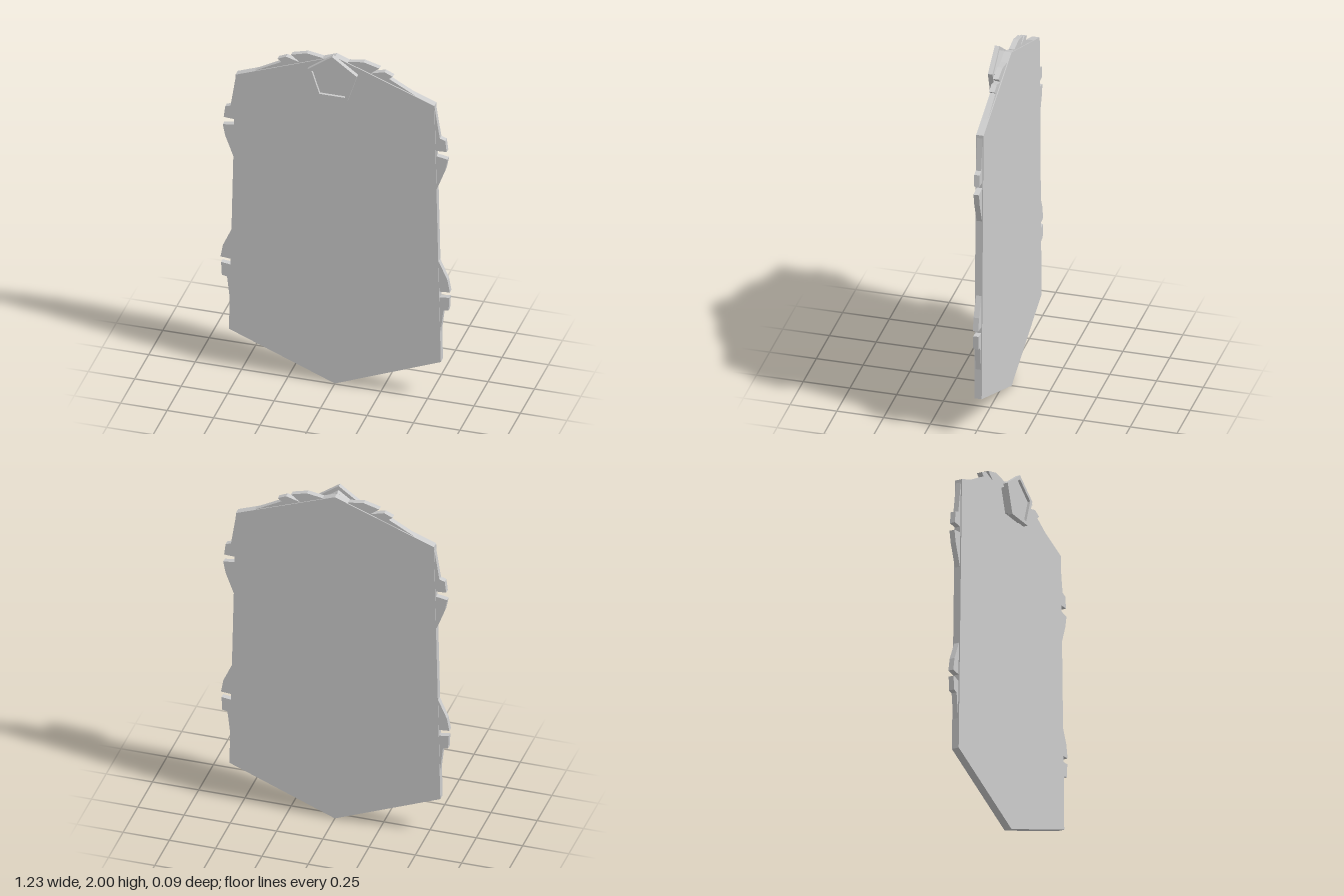
import * as THREE from 'three';

const material = new THREE.MeshStandardMaterial({ color: 0xcccccc, flatShading: true });

// Flat plate cut from an outline, spanning z0 to z1
function plate(name, points, z0, z1, hole) {
  const toVectors = (list) => list.map(([x, y]) => new THREE.Vector2(x, y));
  const shape = new THREE.Shape(toVectors(points));
  if (hole) shape.holes.push(new THREE.Path(toVectors(hole)));
  const geometry = new THREE.ExtrudeGeometry(shape, { depth: z1 - z0, bevelEnabled: false });
  geometry.translate(0, 0, z0);
  const mesh = new THREE.Mesh(geometry, material);
  mesh.name = name;
  return mesh;
}

const mirror = (points) => points.map(([x, y]) => [-x, y]).reverse();

// Regular pentagon with one corner up
function pentagon(radius, cy) {
  return Array.from({ length: 5 }, (_, i) => {
    const a = Math.PI / 2 + (i * Math.PI * 2) / 5;
    return [radius * Math.cos(a), cy + radius * Math.sin(a)];
  });
}

export function createModel() {
  const group = new THREE.Group();
  group.name = 'plaque';

  // Six-sided board, pointed at top and bottom
  group.add(plate('board', [
    [0, 0], [0.57, 0.23], [0.535, 1.77], [0, 1.972], [-0.535, 1.77], [-0.57, 0.23],
  ], -0.045, -0.005));

  // Notched scroll trim, rooted inside the board and repeated on both sides
  const trims = {
    TopTrim: [
      [0.05, 1.9], [0.476, 1.785], [0.29, 1.887], [0.31, 1.903], [0.265, 1.923],
      [0.19, 1.902], [0.238, 1.94], [0.153, 1.963], [0.07, 1.95],
    ],
    UpperSideTrim: [
      [0.51, 1.265], [0.545, 1.265], [0.592, 1.39], [0.605, 1.455], [0.545, 1.465],
      [0.545, 1.497], [0.6, 1.5], [0.592, 1.565], [0.563, 1.575], [0.533, 1.768], [0.51, 1.7],
    ],
    LowerSideTrim: [
      [0.53, 0.4], [0.566, 0.4], [0.582, 0.54], [0.61, 0.545], [0.614, 0.622],
      [0.56, 0.615], [0.56, 0.65], [0.617, 0.655], [0.604, 0.727], [0.553, 0.84], [0.53, 0.84],
    ],
  };
  for (const [name, points] of Object.entries(trims)) {
    group.add(plate('left' + name, points, -0.04, -0.011));
    group.add(plate('right' + name, mirror(points), -0.04, -0.011));
  }

  // Pentagon medallion: raised core with a wider rim in front
  group.add(plate('medallionCore', pentagon(0.116, 1.86), -0.005, 0.03));
  group.add(plate('medallionRim', pentagon(0.14, 1.86), 0.02, 0.045, pentagon(0.116, 1.86)));

  return group;
}
